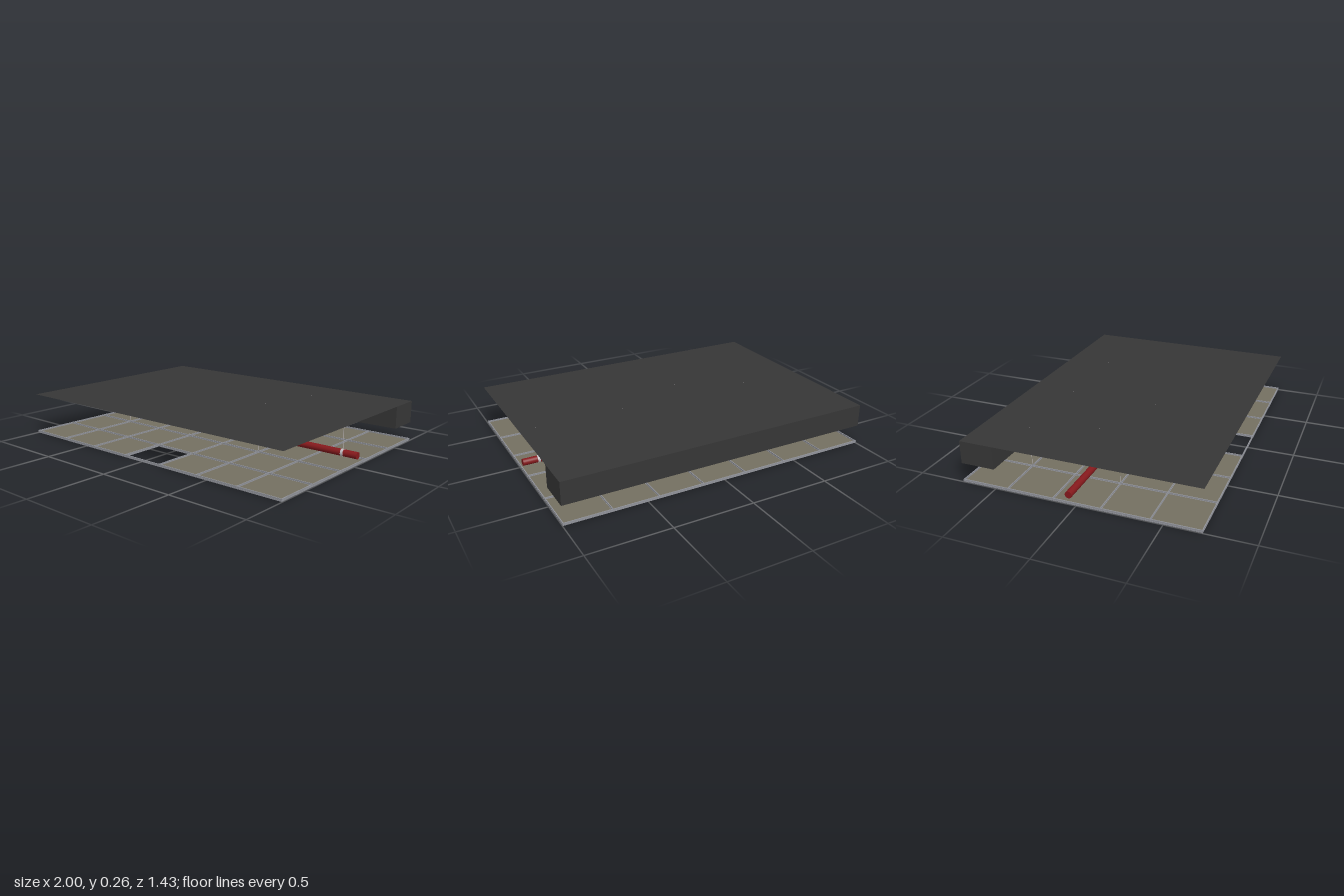
import * as THREE from 'three';

const mat = (name, color, side = THREE.FrontSide) => {
  const m = new THREE.MeshStandardMaterial({ color, side });
  m.name = name;
  return m;
};

export function createModel() {
  const root = new THREE.Group();
  root.name = 'suspendedCeiling';
  const concrete = mat('darkConcrete', 0x363636, THREE.DoubleSide);
  const tileMat = mat('tileTan', 0x746f60);
  const gridMat = mat('gridGrey', 0x8f9198);
  const steel = mat('lightSteel', 0xc4bfc4);
  const red = mat('pipeRed', 0x85191c);
  const black = mat('fittingBlack', 0x222222);
  const hoseMat = mat('hoseGrey', 0x66666a);

  const add = (name, geo, material, x = 0, y = 0, z = 0, parent = root) => {
    const mesh = new THREE.Mesh(geo, material);
    mesh.name = name;
    mesh.position.set(x, y, z);
    parent.add(mesh);
    return mesh;
  };
  const box = (name, m, w, h, d, x, y, z, parent) =>
    add(name, new THREE.BoxGeometry(w, h, d), m, x, y, z, parent);
  const rodX = (name, m, r, len, x, y, z, seg = 24, parent) => {
    const g = new THREE.CylinderGeometry(r, r, len, seg).rotateZ(Math.PI / 2);
    return add(name, g, m, x, y, z, parent);
  };

  // Structural slab and the beam along the back
  const TOP = 0.262;
  add('slab', new THREE.PlaneGeometry(2, 1.425).rotateX(-Math.PI / 2), concrete, 0, TOP, 0);
  box('beam', concrete, 2, 0.14, 0.21, 0, TOP - 0.0705, -0.6075);

  // Ceiling tiles, 7 by 5, with one left open at the front
  const P = 0.2845, COLS = 7, ROWS = 5;
  const tiles = new THREE.Group();
  tiles.name = 'ceilingTiles';
  root.add(tiles);
  for (let i = 0; i < COLS; i++) {
    for (let j = 0; j < ROWS; j++) {
      if (i === 3 && j === ROWS - 1) continue;
      box('tile', tileMat, P - 0.003, 0.006, P - 0.003, (i - 3) * P, 0.003, (j - 2) * P, tiles);
    }
  }

  // T-bar grid: thin upright web on a flange, with wider edge trim
  const grid = new THREE.Group();
  grid.name = 'ceilingGrid';
  root.add(grid);
  const W = COLS * P, D = ROWS * P;
  const bar = (alongX, pos, edge) => {
    const part = (name, t, h, y) => alongX
      ? box(name, gridMat, W + 0.008, h, t, 0, y, pos, grid)
      : box(name, gridMat, t, h, D + 0.002, pos, y, 0, grid);
    part('gridWeb', edge ? 0.006 : 0.003, 0.015, 0.0077);
    part('gridFlange', 0.0085, 0.001, 0.0068);
    part('gridCap', 0.005, 0.003, 0.0145);
  };
  for (let i = 0; i <= COLS; i++) bar(false, (i - COLS / 2) * P, i === 0 || i === COLS);
  for (let j = 0; j <= ROWS; j++) bar(true, (j - ROWS / 2) * P, j === 0 || j === ROWS);

  // Hanger wires for the grid
  const wire = (name, x, z, bottom, r) => {
    const h = TOP + 0.001 - bottom;
    add(name, new THREE.CylinderGeometry(r, r, h, 8), steel, x, bottom + h / 2, z);
  };
  for (const i of [-2.5, -0.5, 1.5]) {
    for (const j of [-1.5, 0.5]) {
      wire('hangerWire', i * P, j * P, 0.012, 0.0012);
      box('hangerClip', gridMat, 0.006, 0.008, 0.006, i * P, 0.018, j * P);
    }
  }

  // Main pipe with clamps on drop rods
  const PY = 0.055, PZ = -0.046, R = 0.021;
  rodX('mainPipe', red, R, 1.99, 0, PY, PZ, 32);
  for (const x of [-0.573, 0.337, 0.897]) {
    rodX('pipeClamp', steel, R + 0.0015, 0.016, x, PY, PZ, 32);
    wire('dropRod', x, PZ, PY + R, 0.0015);
  }

  // Square coupling block: two halves with a seam and corner bolts
  for (const s of [-1, 1]) {
    box('couplingHalf', steel, 0.035, 0.048, 0.06, -0.152 + s * 0.0185, 0.053, PZ);
    for (const dy of [-1, 1]) {
      for (const dz of [-1, 1]) {
        rodX('couplingBolt', gridMat, 0.004, 0.006, -0.152 + s * 0.038, 0.053 + dy * 0.018, PZ + dz * 0.024, 6);
      }
    }
  }

  // Black branch fitting seated on the pipe
  const fitting = new THREE.Group();
  fitting.name = 'branchFitting';
  root.add(fitting);
  rodX('saddle', black, R + 0.005, 0.045, 0.06, PY + 0.006, PZ, 24, fitting);
  rodX('valveBody', black, 0.010, 0.12, 0.09, 0.084, PZ, 16, fitting);
  for (const x of [0.035, 0.06, 0.105, 0.143]) {
    rodX('valveCollar', black, 0.0125, 0.014, x, 0.084, PZ, 8, fitting);
  }
  box('valveLug', black, 0.03, 0.012, 0.058, 0.06, 0.08, PZ, fitting);

  // Flexible hose dropping to the sprinkler head
  const HX = -0.144, HZ = 0.027;
  const path = new THREE.CatmullRomCurve3([
    [0.04, 0.084, PZ], [-0.01, 0.077, -0.04], [-0.07, 0.066, -0.022],
    [-0.12, 0.052, 0.004], [HX, 0.04, 0.022], [HX, 0.018, HZ],
  ].map(p => new THREE.Vector3(...p)));
  add('flexibleHose', new THREE.TubeGeometry(path, 48, 0.006, 10), hoseMat);
  const axis = new THREE.Vector3(0, 0, 1);
  for (let k = 1; k < 18; k++) {
    const rib = add('hoseRib', new THREE.TorusGeometry(0.006, 0.0012, 6, 12), hoseMat);
    rib.position.copy(path.getPointAt(k / 19));
    rib.quaternion.setFromUnitVectors(axis, path.getTangentAt(k / 19));
  }

  // Sprinkler head and its small mounting bar
  box('sprinklerBar', gridMat, 0.008, 0.004, 0.05, HX, 0.018, HZ);
  add('sprinklerNeck', new THREE.CylinderGeometry(0.004, 0.005, 0.02, 12), steel, HX, 0.009, HZ);
  add('sprinklerPlate', new THREE.CylinderGeometry(0.007, 0.007, 0.001, 16), black, HX, 0.0001, HZ);

  return root;
}
